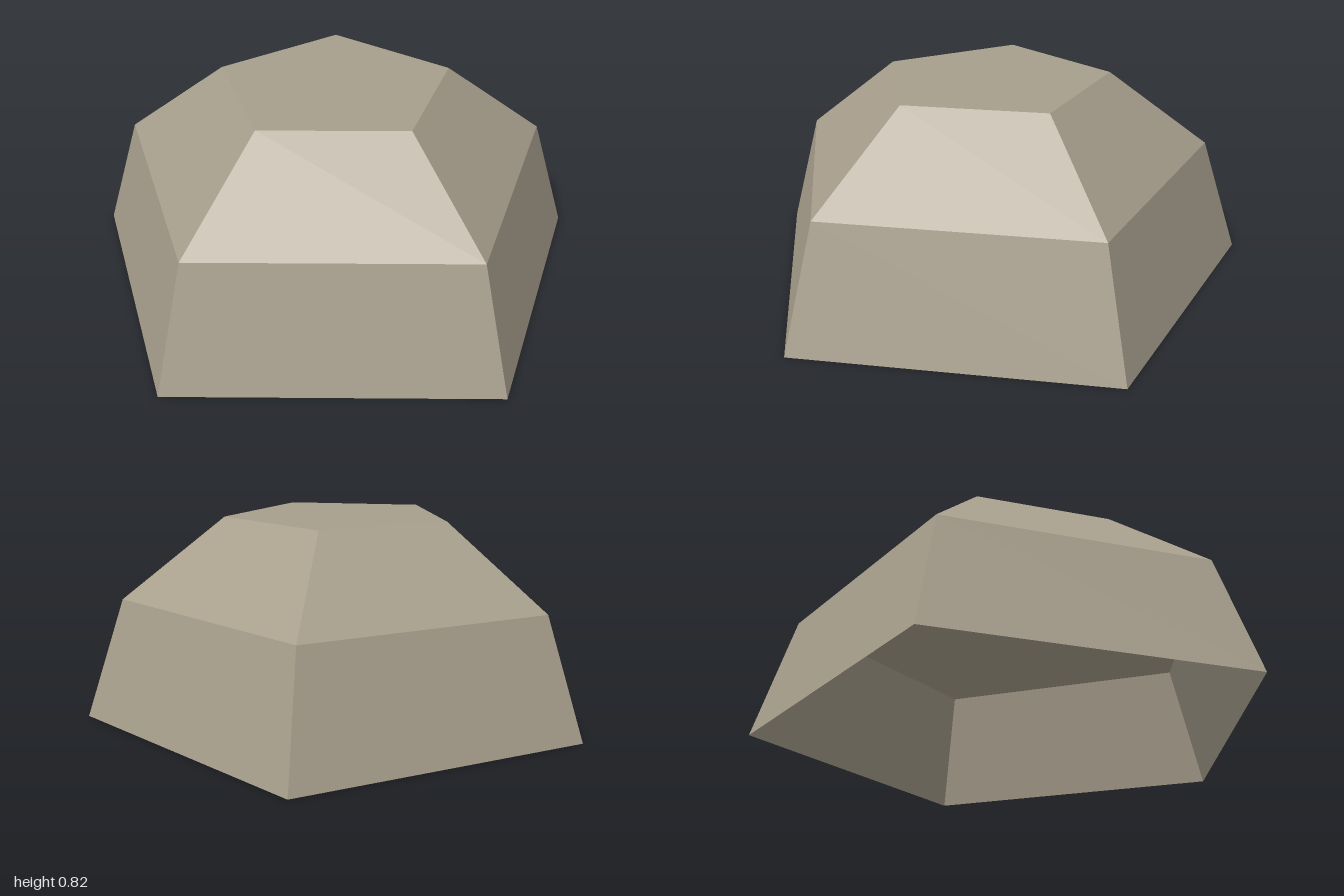
import * as THREE from 'three';

const SIDES = 5;
const TURN = THREE.MathUtils.degToRad(89.08); // direction of the rear corner
// Rings from the open base to the flat top: radius, height
const RINGS = [[1.052, 0], [0.893, 0.49], [0.4725, 0.82]];

function flat(geometry) {
  const g = geometry.toNonIndexed();
  g.computeVertexNormals();
  return g;
}

export function createModel() {
  const group = new THREE.Group();
  group.name = 'rock';

  const stone = new THREE.MeshStandardMaterial({
    color: 0xa89f8d, flatShading: true, side: THREE.DoubleSide,
  });
  stone.name = 'stone';

  // Two sloping bands of faces, open underneath
  const profile = RINGS.map(([r, y]) => new THREE.Vector2(r, y));
  const walls = new THREE.Mesh(
    flat(new THREE.LatheGeometry(profile, SIDES, Math.PI / 2 + TURN)), stone);
  walls.name = 'rockSides';

  // Flat pentagonal top
  const [topRadius, topHeight] = RINGS[RINGS.length - 1];
  const cap = new THREE.CircleGeometry(topRadius, SIDES, TURN);
  cap.rotateX(-Math.PI / 2);
  cap.translate(0, topHeight, 0);
  const top = new THREE.Mesh(flat(cap), stone);
  top.name = 'rockTop';

  group.add(walls, top);
  // Centre the pentagon's bounds on the origin
  group.position.set(-0.005, 0, 0.092);
  return group;
}
